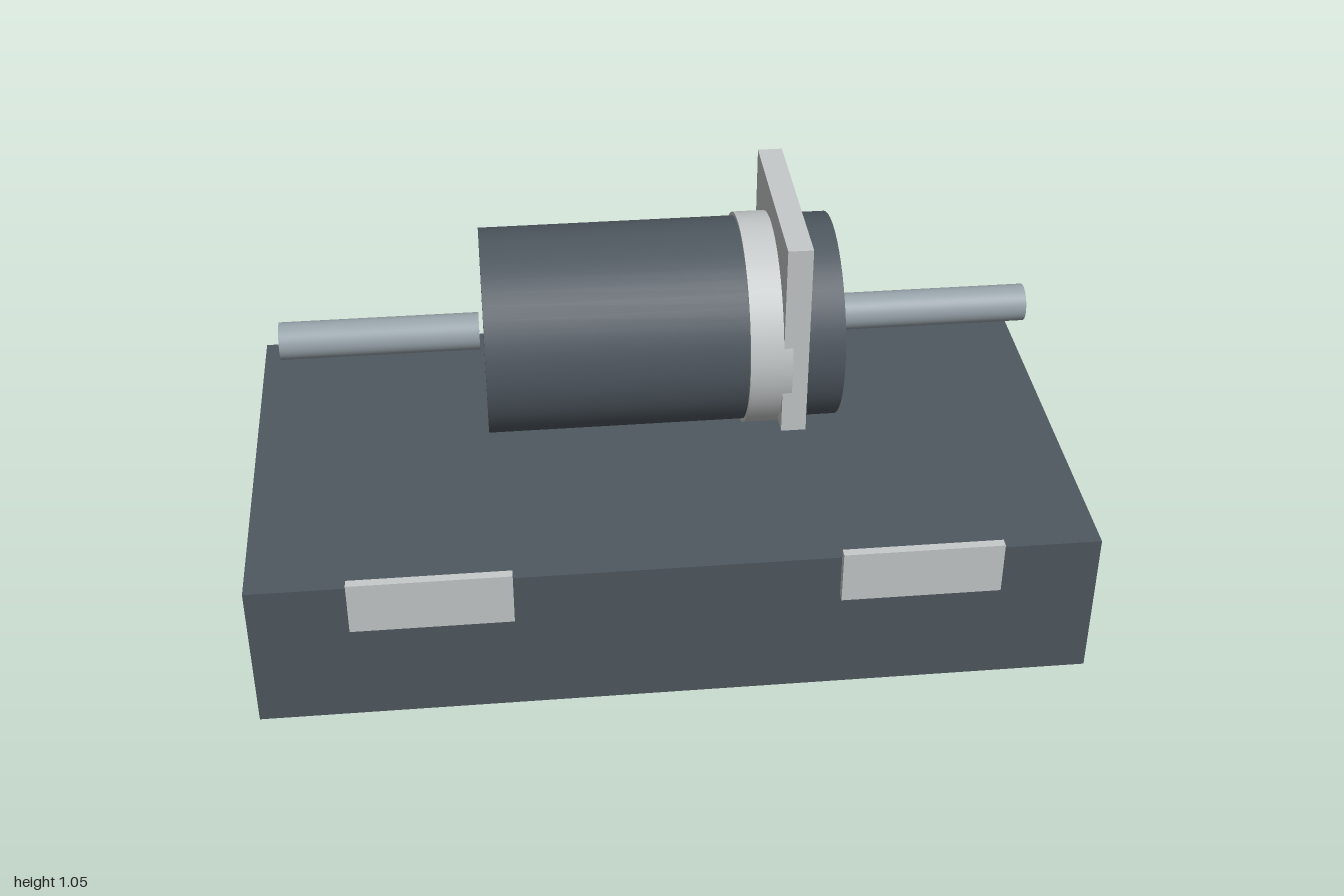
import * as THREE from 'three';

export function createModel() {
  const model = new THREE.Group();
  const material = (name, color) => {
    const m = new THREE.MeshStandardMaterial({ color });
    m.name = name;
    return m;
  };
  const dark = material('dark slate', 0x4f5860);
  const steel = material('steel grey', 0x98a4ab);
  const light = material('light grey', 0xc6caca);

  const axisY = 0.726, axisZ = -0.015;

  function add(name, geometry, mat, x, y, z) {
    const mesh = new THREE.Mesh(geometry, mat);
    mesh.name = name;
    mesh.position.set(x, y, z);
    model.add(mesh);
  }

  // box given by its limits on each axis
  function box(name, mat, [x0, x1], [y0, y1], [z0, z1]) {
    add(name, new THREE.BoxGeometry(x1 - x0, y1 - y0, z1 - z0), mat,
      (x0 + x1) / 2, (y0 + y1) / 2, (z0 + z1) / 2);
  }

  // round part lying along x on the common axis
  function rod(name, mat, radius, x0, x1) {
    const geometry = new THREE.CylinderGeometry(radius, radius, x1 - x0, 48);
    geometry.rotateZ(-Math.PI / 2);
    add(name, geometry, mat, (x0 + x1) / 2, axisY, axisZ);
  }

  // base block
  box('base', dark, [-1, 1], [0, 0.382], [-0.54, 0.51]);

  // drum with its collar and shafts
  rod('drum', dark, 0.247, -0.42, 0.42);
  rod('collar', light, 0.256, 0.195, 0.295);
  rod('rightShaft', steel, 0.045, -0.905, -0.43);
  rod('leftShaft', steel, 0.045, 0.427, 0.902);

  // square plate around the drum
  box('mountingPlate', light, [0.273, 0.332], [0.556, 1.05], [-0.261, 0.233]);

  // tabs just in front of the base
  box('rightTab', light, [-0.765, -0.385], [0.277, 0.411], [0.517, 0.539]);
  box('leftTab', light, [0.38, 0.76], [0.277, 0.411], [0.517, 0.539]);

  return model;
}
